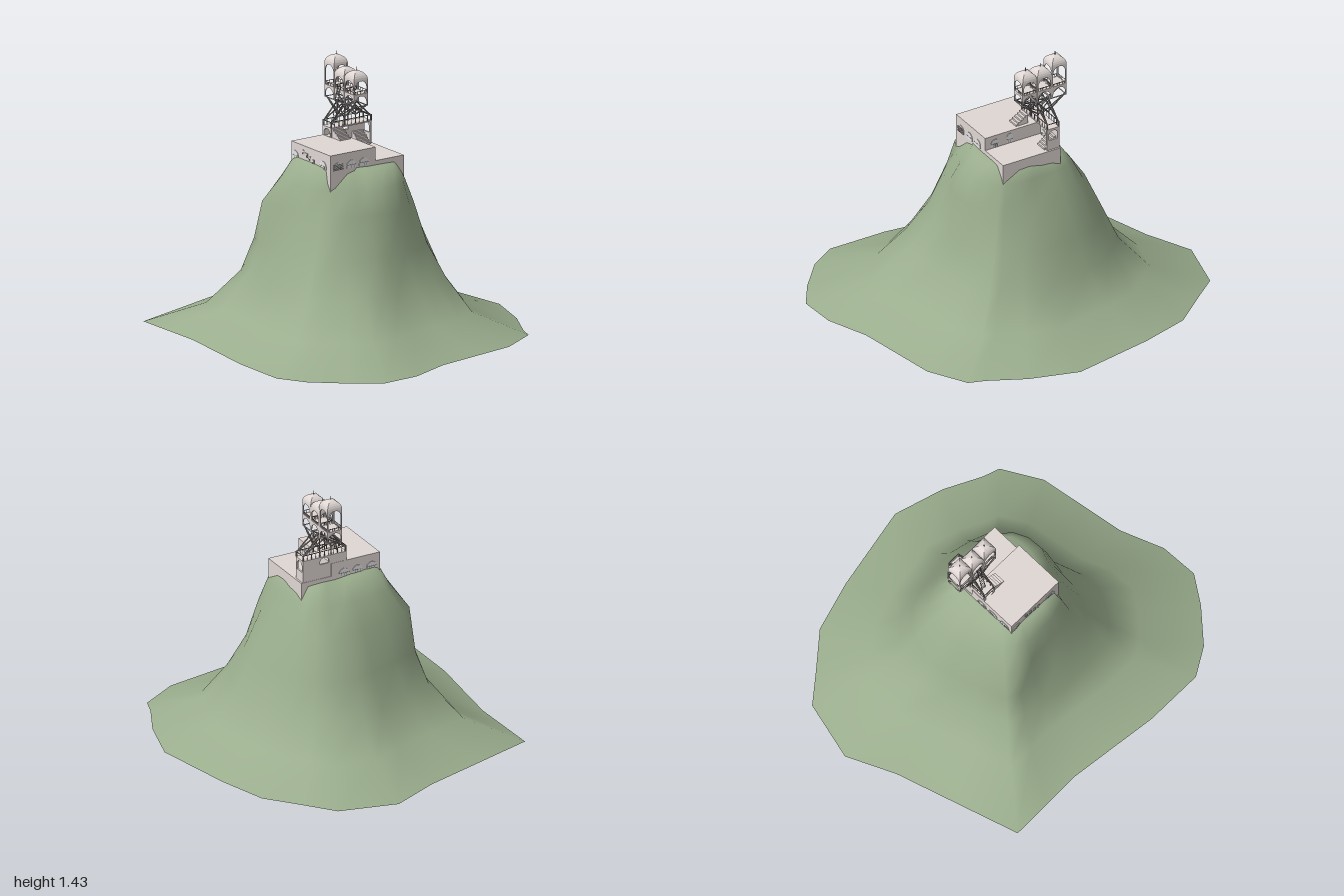
import * as THREE from 'three';

const mat = (name, color, extra = {}) => Object.assign(new THREE.MeshStandardMaterial({ color, ...extra }), { name });

export function createModel() {
  const root = new THREE.Group();
  root.name = 'hilltopPalace';
  const grass = mat('grass green', 0x9aad8d, { side: THREE.DoubleSide });
  const stone = mat('pale stone', 0xe0d7d4);
  const iron = mat('grey iron', 0x8c8684);
  const pane = mat('window white', 0xffffff);

  const add = (name, geo, m, x = 0, y = 0, z = 0, parent = root) => {
    const mesh = new THREE.Mesh(geo, m);
    mesh.name = name;
    mesh.position.set(x, y, z);
    parent.add(mesh);
    return mesh;
  };
  // box given by its min and max corners
  const box = (name, m, x0, x1, y0, y1, z0, z1, parent = root) =>
    add(name, new THREE.BoxGeometry(x1 - x0, y1 - y0, z1 - z0), m, (x0 + x1) / 2, (y0 + y1) / 2, (z0 + z1) / 2, parent);
  // thin round bar between two points
  const bar = (name, a, b, r = 0.003, parent = root) => {
    const p = new THREE.Vector3(...a), q = new THREE.Vector3(...b);
    const mesh = add(name, new THREE.CylinderGeometry(r, r, p.distanceTo(q), 5), iron, 0, 0, 0, parent);
    mesh.position.copy(p).add(q).multiplyScalar(0.5);
    mesh.quaternion.setFromUnitVectors(new THREE.Vector3(0, 1, 0), q.sub(p).normalize());
    return mesh;
  };
  // arch outline: straight sides with a half-round head
  const archPath = (P, w, y0, h, cx = 0) => {
    const p = new P(), r = w / 2;
    p.moveTo(cx - r, y0);
    p.lineTo(cx + r, y0);
    p.lineTo(cx + r, y0 + h - r);
    p.absarc(cx, y0 + h - r, r, 0, Math.PI, false);
    p.lineTo(cx - r, y0);
    return p;
  };
  // wall panel with arched openings, centred on x, standing on y = 0
  const archPanel = (w, h, holes, t = 0.006) => {
    const s = new THREE.Shape();
    s.moveTo(-w / 2, 0); s.lineTo(w / 2, 0); s.lineTo(w / 2, h); s.lineTo(-w / 2, h);
    s.closePath();
    for (const [cx, hw, y0, hh] of holes) s.holes.push(archPath(THREE.Path, hw, y0, hh, cx));
    return new THREE.ExtrudeGeometry(s, { depth: t, bevelEnabled: false, curveSegments: 8 }).translate(0, 0, -t / 2);
  };

  // Hill: ground outline (x, z) shrunk for the foot, then radii for the steep upper rings
  const outline = [[.14, -.88], [.41, -.8], [.61, -.7], [.7, -.67], [.82, -.46], [.86, -.22], [.9, .02], [.99, .25],
    [1, .46], [.9, .61], [.75, .78], [.6, .87], [.27, .87], [.02, .84], [-.24, .81], [-.45, .815],
    [-.67, .82], [-.775, .48], [-.88, .14], [-1, -.12], [-.92, -.44], [-.77, -.56], [-.59, -.71], [-.32, -.79]];
  const upper = [
    [0.29, [.49, .49, .51, .53, .51, .48, .48, .53, .57, .58, .59, .59, .52, .5, .49, .52, .55, .49, .48, .52, .54, .51, .5, .47]],
    [0.47, [.41, .42, .42, .43, .42, .41, .41, .41, .43, .45, .47, .48, .44, .42, .43, .46, .48, .42, .41, .44, .46, .45, .44, .4]],
    [0.69, [.3, .33, .35, .36, .37, .37, .365, .35, .35, .37, .38, .39, .37, .36, .39, .44, .42, .36, .32, .34, .36, .36, .35, .32]],
    [0.82, [.25, .28, .3, .31, .33, .335, .33, .31, .29, .31, .31, .35, .33, .32, .33, .34, .33, .28, .25, .25, .27, .29, .29, .26]],
    [0.91, [.21, .23, .25, .26, .27, .26, .25, .24, .22, .23, .23, .3, .28, .27, .27, .27, .25, .2, .17, .16, .19, .22, .23, .21]]];
  const pos = [], index = [], n = outline.length, rings = 7;
  for (const [y, k] of [[0, 1], [0.11, 0.69]])
    for (const [x, z] of outline) pos.push(x * k, y, z * k);
  for (const [y, radii] of upper)
    outline.forEach(([x, z], j) => {
      const len = Math.hypot(x, z), k = radii[j] / len;
      // the crest stands higher along the front
      const lift = y > 0.9 ? 0.025 * Math.max(0, z / len) : 0;
      pos.push(x * k, y + lift, z * k);
    });
  pos.push(0, 0.93, 0);
  for (let i = 0; i < rings; i++)
    for (let j = 0; j < n; j++) {
      const a = i * n + j, b = i * n + (j + 1) % n;
      if (i === rings - 1) index.push(a, rings * n, b);
      else index.push(a, a + n, b, b, a + n, b + n);
    }
  const hill = new THREE.BufferGeometry();
  hill.setAttribute('position', new THREE.Float32BufferAttribute(pos, 3));
  hill.setIndex(index);
  hill.computeVertexNormals();
  add('hill', hill, grass);

  // Main block, and the lower open terrace behind it
  box('mainBlock', stone, -0.14, 0.21, 0.76, 1.01, -0.04, 0.25);
  box('terrace', stone, -0.14, 0.21, 0.78, 0.937, -0.22, -0.04);

  // Arched windows: white plate with glazing bars; turn is the facing angle
  const archWindow = (x, y, z, turn, w = 0.06, h = 0.042, louvred = false) => {
    const g = new THREE.Group();
    g.name = 'archWindow';
    g.position.set(x, y, z);
    g.rotation.y = turn;
    root.add(g);
    const shape = archPath(THREE.Shape, w, 0, h);
    add('pane', new THREE.ExtrudeGeometry(shape, { depth: 0.003, bevelEnabled: false, curveSegments: 8 }), pane, 0, 0, 0, g);
    for (const t of [-0.25, 0, 0.25]) box('glazingBar', iron, t * w - 0.0008, t * w + 0.0008, 0, h * 0.4, 0.003, 0.004, g);
    box('sillRail', iron, -w / 2, w / 2, h * 0.38, h * 0.42, 0.003, 0.004, g);
    if (louvred) for (let i = 0; i < 5; i++) box('louvre', iron, -w / 2, w / 2, i * 0.007, i * 0.007 + 0.004, 0.003, 0.005, g);
  };
  [0.2, 0.115, 0.035].forEach((z, i) => {
    archWindow(0.21, 0.925, z, Math.PI / 2, 0.06, 0.042, i === 0);
    archWindow(-0.14, 0.925, z, -Math.PI / 2);
  });
  for (const x of [-0.105, 0.145]) archWindow(x, 0.925, 0.25, 0);
  // Descending row of small stair windows
  for (let i = 0; i < 4; i++) {
    const x = -0.03 + i * 0.029, y = 0.965 - i * 0.011;
    box('stairWindowFrame', iron, x - 0.009, x + 0.009, y - 0.002, y + 0.022, 0.25, 0.251);
    archWindow(x, y, 0.25, 0, 0.013, 0.02);
  }
  // Door and windows facing the terrace
  archWindow(0.06, 0.94, -0.04, Math.PI, 0.035, 0.055);
  archWindow(0.15, 0.945, -0.04, Math.PI, 0.05, 0.042);
  archWindow(-0.128, 0.938, -0.07, Math.PI / 2, 0.05, 0.035);

  // Gallery under the tower: arcaded wall, roof deck, railing
  const gallery = add('galleryWall', archPanel(0.26, 0.125, [[0, 0.055, 0.083, 0.036]], 0.01), stone, -0.133, 0.935, -0.08);
  gallery.rotation.y = Math.PI / 2;
  add('galleryFrontArch', archPanel(0.075, 0.05, [[0, 0.056, 0.002, 0.04]], 0.01), stone, -0.1025, 1.01, 0.045);
  add('galleryBackArch', archPanel(0.075, 0.125, [[0, 0.056, 0.06, 0.055]], 0.01), stone, -0.1025, 0.935, -0.205);
  box('galleryDeck', stone, -0.14, -0.065, 1.055, 1.062, -0.21, 0.05);
  for (const x of [-0.138, -0.067]) {
    bar('galleryRail', [x, 1.092, -0.21], [x, 1.092, 0.05], 0.0025);
    for (let i = 0; i <= 10; i++) bar('railPost', [x, 1.06, 0.05 - i * 0.026], [x, 1.092, 0.05 - i * 0.026], 0.0018);
  }
  for (const z of [-0.21, 0.05]) bar('galleryRail', [-0.138, 1.092, z], [-0.067, 1.092, z], 0.0025);
  // Stairs, rising towards -x: main roof to gallery deck, and terrace to gallery
  const stairs = (name, x0, run, y0, y1, steps, z0, z1) => {
    for (let i = 0; i < steps; i++)
      box(name, stone, x0 + i * run, x0 + (i + 1) * run, y0, y1 - (i * (y1 - y0)) / steps, z0, z1);
  };
  stairs('roofStair', -0.065, 0.015, 1.01, 1.058, 5, -0.02, 0.045);
  stairs('terraceStair', -0.128, 0.012, 0.937, 1.0, 6, -0.195, -0.13);

  // Three domed kiosks, two storeys each
  const W = 0.088, Z = -0.075;
  const kiosk = (x, rise) => {
    const g = new THREE.Group();
    g.name = 'kiosk';
    g.position.set(x, 0, Z);
    root.add(g);
    const h2 = 0.075 + rise;
    for (let s = 0; s < 4; s++) {
      const side = new THREE.Group();
      side.name = 'kioskSide';
      side.rotation.y = s * Math.PI / 2;
      g.add(side);
      add('lowerArch', archPanel(W, 0.06, [[0, 0.076, 0.003, 0.053]], 0.005), stone, 0, 1.18, W / 2 - 0.0025, side);
      add('upperArch', archPanel(W, h2, [[0, 0.075, 0.002, h2 - 0.006]], 0.005), stone, 0, 1.247, W / 2 - 0.0025, side);
      box('balconyRail', iron, -W / 2, W / 2, 1.262, 1.265, W / 2 - 0.002, W / 2, side);
      for (let i = 1; i < 8; i++) bar('baluster', [-W / 2 + i * W / 8, 1.245, W / 2 - 0.002], [-W / 2 + i * W / 8, 1.263, W / 2 - 0.002], 0.0009, side);
    }
    box('balconyFloor', stone, -W / 2, W / 2, 1.238, 1.248, -W / 2, W / 2, g);
    // four-sided dome: square plan, quarter-round profile
    const profile = [];
    for (let i = 0; i <= 6; i++) {
      const a = i / 6 * Math.PI / 2;
      profile.push(new THREE.Vector2(Math.max(0.0005, Math.cos(a) * W / Math.SQRT2), Math.sin(a) * 0.046));
    }
    const dome = new THREE.LatheGeometry(profile, 4, Math.PI / 4).toNonIndexed();
    dome.computeVertexNormals();
    add('dome', dome, stone, 0, 1.247 + h2, 0, g);
    bar('finial', [0, 1.285 + h2, 0], [0, 1.312 + h2, 0], 0.002, g);
  };
  kiosk(-0.195, 0.045);
  kiosk(-0.105, 0);
  kiosk(-0.015, 0);

  // Tower legs and fanned braces
  const cx = -0.1025;
  for (const sx of [-1, 1]) {
    for (const sz of [-1, 1]) {
      const zFoot = sz > 0 ? 0.045 : -0.205, zTop = Z + sz * 0.035;
      const foot = [cx + sx * 0.034, 1.09, zFoot];
      bar('legFoot', [foot[0], 1.06, zFoot], foot, 0.004);
      bar('leg', foot, [cx + sx * 0.03, 1.185, zTop], 0.004);
      bar('crossBrace', foot, [cx + sx * 0.03, 1.185, Z - sz * 0.035], 0.004);
      bar('post', [cx + sx * 0.034, 1.06, zTop], [cx + sx * 0.034, 1.18, zTop], 0.003);
      bar('outerBrace', [cx + sx * 0.034, 1.11, zTop], [cx + sx * 0.132, 1.185, zTop], 0.004);
      bar('fanBrace', [cx, 1.11, zTop], [cx + sx * 0.132, 1.185, zTop], 0.003);
      bar('innerBrace', [cx - sx * 0.034, 1.1, zTop], [cx + sx * 0.045, 1.185, zTop], 0.003);
    }
  }
  for (const sz of [-1, 1]) bar('kioskBeam', [-0.238, 1.181, Z + sz * 0.04], [0.028, 1.181, Z + sz * 0.04], 0.003);

  // Ladder up to the balconies
  for (const sx of [-1, 1]) bar('ladderRail', [cx + sx * 0.012, 1.06, 0.01], [cx + sx * 0.012, 1.28, -0.03], 0.0018);
  for (let i = 0; i < 14; i++) {
    const t = (i + 0.5) / 14, y = 1.06 + 0.22 * t, z = 0.01 - 0.04 * t;
    bar('ladderRung', [cx - 0.012, y, z], [cx + 0.012, y, z], 0.0013);
  }
  return root;
}
